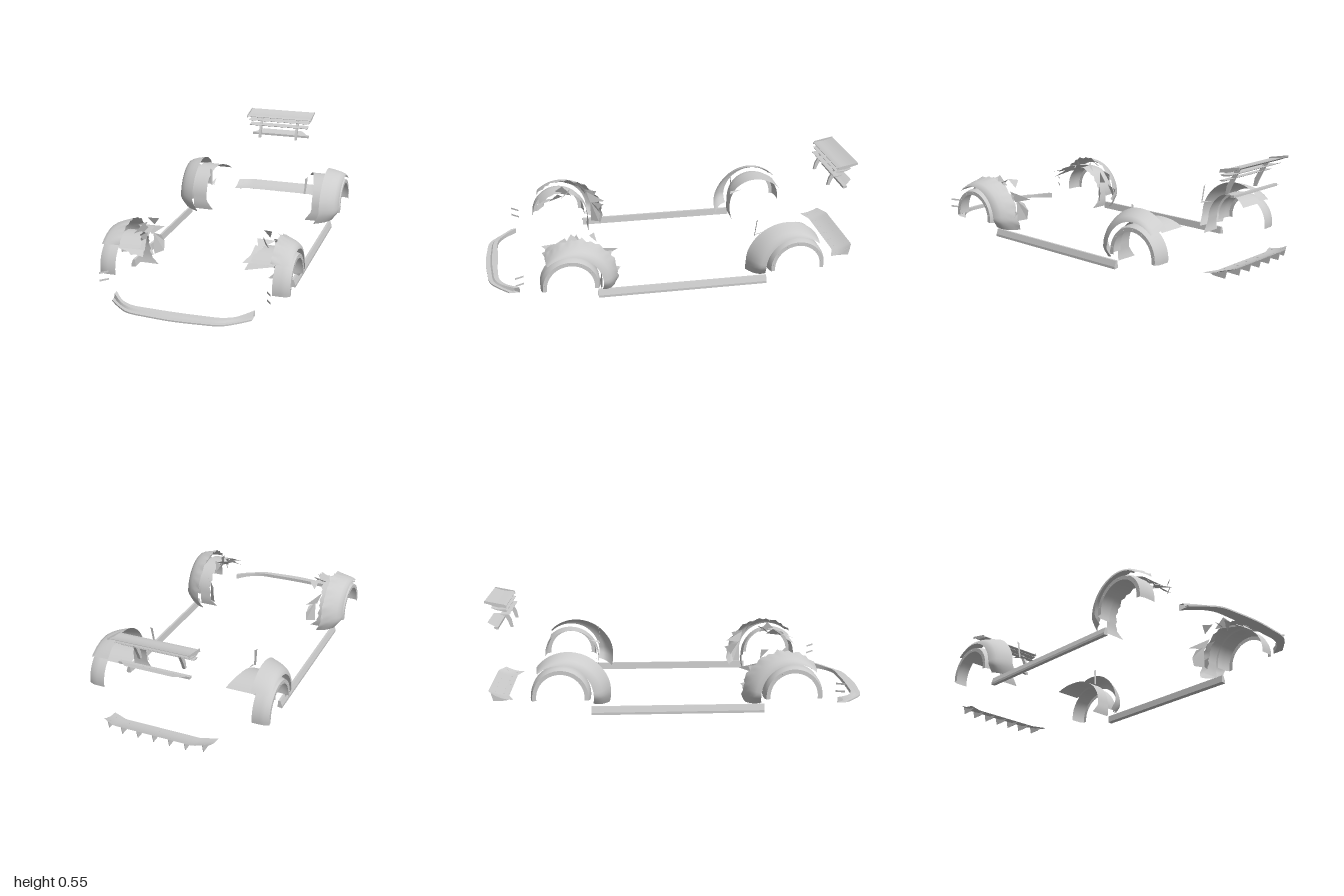
import * as THREE from 'three';
import { toCreasedNormals } from 'three/addons/utils/BufferGeometryUtils.js';

const primer = new THREE.MeshStandardMaterial({ color: 0xcccccc, side: THREE.DoubleSide });
primer.name = 'primer grey';
const rad = Math.PI / 180;

// piecewise linear lookup: pairs of [t, value]
function lerpTable(table, t) {
  for (let i = 1; i < table.length; i++) {
    const [a, va] = table[i - 1], [b, vb] = table[i];
    if (t <= b) return va + (vb - va) * Math.max(0, (t - a) / (b - a));
  }
  return table[table.length - 1][1];
}

// sheet from a function f(i, j) giving a point
function sheet(nu, nv, f, crease = 0.6) {
  const pos = [], idx = [];
  for (let i = 0; i <= nu; i++) for (let j = 0; j <= nv; j++) pos.push(...f(i, j));
  for (let i = 0; i < nu; i++) for (let j = 0; j < nv; j++) {
    const a = i * (nv + 1) + j, b = a + nv + 1;
    idx.push(a, b, a + 1, b, b + 1, a + 1);
  }
  const g = new THREE.BufferGeometry();
  g.setAttribute('position', new THREE.Float32BufferAttribute(pos, 3));
  g.setIndex(idx);
  return toCreasedNormals(g, crease);
}

// flat polygon fan through a few points
function plate(points) {
  const g = new THREE.BufferGeometry().setFromPoints(points.map((p) => new THREE.Vector3(...p)));
  const idx = [];
  for (let i = 1; i < points.length - 1; i++) idx.push(0, i, i + 1);
  g.setIndex(idx);
  return toCreasedNormals(g, 0.1);
}

function add(parent, name, geometry) {
  const m = new THREE.Mesh(geometry, primer);
  m.name = name;
  parent.add(m);
  return m;
}

// outline in (z, y) pulled out along x, centred on x
function extrudeX(points, width, x = 0) {
  const shape = new THREE.Shape(points.map(([z, y]) => new THREE.Vector2(-z, y)));
  const g = new THREE.ExtrudeGeometry(shape, { depth: width, bevelEnabled: false });
  g.rotateY(Math.PI / 2).translate(x - width / 2, 0, 0);
  return toCreasedNormals(g, 0.5);
}

// thin cambered wing blade from a front edge to a rear edge
function blade(halfWidth, z0, y0, z1, y1, t) {
  const top = [], bottom = [];
  for (let i = 0; i <= 8; i++) {
    const u = i / 8, z = z0 + (z1 - z0) * u;
    const y = y0 + (y1 - y0) * u - 0.12 * Math.abs(z1 - z0) * Math.sin(Math.PI * u) * 0.6;
    const h = t * (0.2 + Math.sin(Math.PI * Math.sqrt(u)) * 0.8) / 2;
    top.push([z, y + h]);
    bottom.unshift([z, y - h]);
  }
  return extrudeX([...top, ...bottom], halfWidth * 2);
}

// one wheel arch; dir is the z direction in which its tail points
function wheelArch(side, cz, cy, dir, front) {
  const g = new THREE.Group();
  const at = (r, deg, x) => [side * x, cy + r * Math.sin(deg * rad), cz + dir * r * Math.cos(deg * rad)];
  const jag = (i) => (front ? 0.012 * (((i * 7) % 5) / 4 - 0.5) : 0);

  // flare: band with chamfer and an outer lip
  const flare = [[0.15, 0.402], [0.15, 0.443], [0.149, 0.464], [0.14, 0.488], [0.12, 0.488]];
  add(g, 'wheelFlare', sheet(32, 4, (i, j) => at(flare[j][0], -6 + 192 * i / 32, flare[j][1])));
  for (let i = 0; i < 7; i++) {
    const bolt = new THREE.CylinderGeometry(0.004, 0.004, 0.006, 8);
    bolt.rotateZ(Math.PI / 2).translate(...at(0.13, 10 + 160 * i / 6, 0.488));
    add(g, 'flareBolt', bolt);
  }

  // fender skin swelling over the flare
  const reach = [[-16, 0.25], [15, 0.25], [50, 0.232], [90, 0.208], [132, 0.182]];
  add(g, 'fenderPanel', sheet(28, 5, (i, j) => {
    const a = -14 + 146 * i / 28, v = j / 5;
    const outer = lerpTable(reach, a) + (j === 5 ? jag(i) : 0);
    const x = 0.486 - 0.1 * Math.pow(v, 1.7) - 0.03 * Math.max(0, -a / 14);
    return at(0.166 + (outer - 0.166) * Math.pow(v, 0.75), a, x);
  }, 1));

  // inner liner, widening at the tail and at the far end
  const inner = [[-24, 0.285], [-5, 0.325], [40, 0.325], [70, 0.31], [100, 0.29], [135, 0.25]];
  add(g, 'archLiner', sheet(28, 3, (i, j) => {
    const a = -24 + 157 * i / 28;
    const x = 0.405 + (lerpTable(inner, a) + (front ? 0.02 : 0) + jag(i) - 0.405) * j / 3;
    return at(0.164 + 0.012 * Math.max(0, -a / 24), a, x);
  }, 1));

  // torn mounting pieces on the inboard side
  const shards = front ? [
    [[0.33, 0.19, 0.39], [0.30, 0.17, 0.36], [0.29, 0.13, 0.34], [0.29, 0.08, 0.35], [0.33, 0.07, 0.39]],
    [[0.34, 0.22, 0.66], [0.25, 0.22, 0.7], [0.28, 0.245, 0.6]],
    [[0.40, 0.21, 0.68], [0.26, 0.185, 0.7], [0.27, 0.21, 0.66], [0.36, 0.245, 0.64]],
    [[0.36, 0.25, 0.6], [0.31, 0.305, 0.55], [0.30, 0.25, 0.5]],
    [[0.36, 0.27, 0.5], [0.27, 0.28, 0.52], [0.29, 0.24, 0.56]],
    [[0.34, 0.23, 0.55], [0.28, 0.27, 0.58], [0.27, 0.235, 0.63]],
    [[0.33, 0.3, 0.46], [0.28, 0.29, 0.43], [0.31, 0.25, 0.42]],
    [[0.4, 0.24, 0.42], [0.38, 0.23, 0.35], [0.4, 0.18, 0.37]],
    [[0.36, 0.24, 0.41], [0.3, 0.2, 0.31], [0.34, 0.18, 0.39]],
    [[0.4, 0.16, 0.38], [0.39, 0.14, 0.31], [0.41, 0.09, 0.35]],
    [[0.42, 0.29, 0.55], [0.37, 0.312, 0.5], [0.4, 0.26, 0.45]],
  ] : [
    [[0.3, 0.3, -0.43], [0.285, 0.29, -0.43], [0.28, 0.2, -0.42], [0.29, 0.2, -0.42]],
    [[0.29, 0.21, -0.43], [0.27, 0.2, -0.42], [0.28, 0.22, -0.49]],
  ];
  for (const s of shards) add(g, 'tornBracket', plate(s.map(([x, y, z]) => [side * x, y, z])));
  g.name = front ? 'frontWheelArch' : 'rearWheelArch';
  return g;
}

export function createModel() {
  const model = new THREE.Group();
  model.name = 'bodyKit';

  for (const s of [-1, 1]) {
    model.add(wheelArch(s, 0.572, 0.096, -1, true));
    model.add(wheelArch(s, -0.6, 0.105, 1, false));

    // side skirt: slanted closed strip
    const skirt = new THREE.Shape([[0.421, 0.003], [0.446, 0], [0.446, 0.012], [0.436, 0.041], [0.425, 0.041]]
      .map(([x, y]) => new THREE.Vector2(s * x, y)));
    const g = new THREE.ExtrudeGeometry(skirt, { depth: 0.88, bevelEnabled: false });
    add(model, 'sideSkirt', g.translate(0, 0, -0.45));

    // small bumper canards
    for (const y of [0.098, 0.138]) {
      add(model, 'canard', plate([[s * 0.4, y - 0.008, 0.802], [s * 0.43, y - 0.004, 0.845],
        [s * 0.43, y + 0.006, 0.845], [s * 0.4, y + 0.001, 0.802]]));
    }
  }

  // front splitter: section swept around the nose
  const edge = (pts) => new THREE.CatmullRomCurve3(pts.map(([x, z]) => new THREE.Vector3(x, 0, z)));
  const mirrored = (p) => [...p.map(([x, z]) => [-x, z]), ...p.slice(0, -1).reverse()];
  const outer = edge(mirrored([[0.35, 0.88], [0.29, 0.935], [0.23, 0.975], [0.12, 0.99], [0, 0.997]]));
  const rear = edge(mirrored([[0.35, 0.825], [0.29, 0.89], [0.225, 0.925], [0.12, 0.933], [0, 0.936]]));
  add(model, 'frontSplitter', sheet(40, 6, (i, j) => {
    const a = outer.getPoint(i / 40), b = rear.getPoint(i / 40);
    const lift = Math.max(0, Math.abs(a.x) - 0.28) / 0.07;
    const section = [[0, 0.017], [0, 0.024], [0.4, 0.025], [0.55, 0.034], [1, 0.036], [1, 0.017], [0, 0.017]];
    const [v, y] = section[j];
    const p = a.lerp(b, v);
    return [p.x, y + (j > 2 && j < 5 ? lift * 0.01 : 0), p.z];
  }));

  // rear diffuser tray with fins underneath
  const frontZ = (x) => lerpTable([[0.2, -0.89], [0.28, -0.86]], Math.abs(x));
  const rearZ = (x) => lerpTable([[0.21, -0.998], [0.28, -0.963]], Math.abs(x));
  add(model, 'diffuserTray', sheet(28, 4, (i, j) => {
    const x = -0.28 + 0.02 * i, v = j / 4;
    return [x, 0.036 + 0.029 * v * v, frontZ(x) + (rearZ(x) - frontZ(x)) * v];
  }));
  for (let i = -3; i <= 3; i++) {
    const x = i * 0.0835, z0 = frontZ(x), z1 = rearZ(x);
    add(model, 'diffuserFin', extrudeX([[z0, 0.036], [(z0 + z1) / 2, 0.042], [z1, 0.064], [z1 + 0.01, 0.022], [z0 - 0.03, 0.024]], 0.003, x));
  }

  // rear wing: stacked blades on two uprights
  const wing = new THREE.Group();
  wing.name = 'rearWing';
  add(wing, 'topBlade', blade(0.203, -0.887, 0.515, -0.998, 0.541, 0.012));
  add(wing, 'middleBlade', blade(0.192, -0.882, 0.494, -0.965, 0.507, 0.008));
  add(wing, 'lowerBlade', blade(0.186, -0.875, 0.466, -0.92, 0.473, 0.007));
  add(wing, 'baseBlade', sheet(1, 1, (i, j) => [
    (i ? 1 : -1) * (j ? 0.125 : 0.182), j ? 0.415 : 0.4, j ? -0.998 : -0.94]));
  add(wing, 'baseBladeEdge', extrudeX([[-0.935, 0.39], [-0.935, 0.402], [-0.955, 0.404], [-0.955, 0.392]], 0.364));
  for (const s of [-1, 1]) {
    add(wing, 'upright', extrudeX([[-0.864, 0.39], [-0.872, 0.43], [-0.895, 0.47], [-0.92, 0.515],
      [-0.94, 0.515], [-0.91, 0.46], [-0.89, 0.42], [-0.878, 0.39]], 0.014, s * 0.116));
    add(wing, 'endPlate', extrudeX([[-0.885, 0.506], [-0.89, 0.524], [-0.998, 0.546], [-0.998, 0.534]], 0.003, s * 0.204));
  }
  model.add(wing);
  return model;
}
